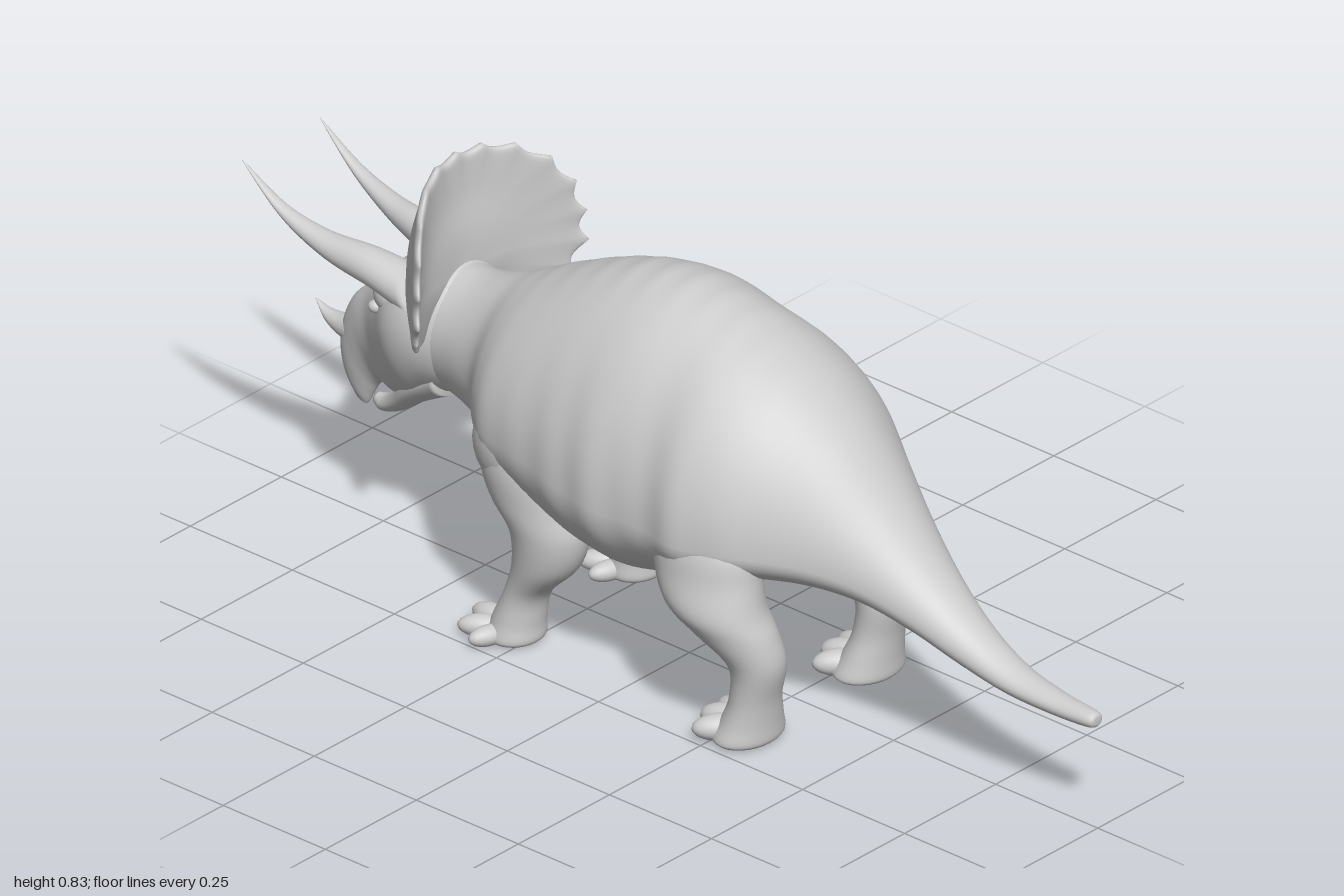
import * as THREE from 'three';

const material = new THREE.MeshStandardMaterial({ color: 0xcccccc, roughness: 0.8 });
const { sin, cos, abs, max, PI } = Math;

// Catmull-Rom through rows of cross-section parameters
function smooth(rows, sub) {
  const out = [];
  const n = rows.length - 1;
  for (let i = 0; i < n; i++) {
    const a = rows[max(i - 1, 0)], b = rows[i], c = rows[i + 1], d = rows[Math.min(i + 2, n)];
    for (let s = 0; s < sub; s++) {
      const t = s / sub;
      out.push(b.map((_, k) => 0.5 * (2 * b[k] + (c[k] - a[k]) * t
        + (2 * a[k] - 5 * b[k] + 4 * c[k] - d[k]) * t * t
        + (3 * b[k] - a[k] - 3 * c[k] + d[k]) * t * t * t)));
    }
  }
  out.push(rows[n]);
  return out;
}

// Closed skin over smoothed rings; place(row, angle) gives one point
function loft(rows, place, sub = 5, seg = 40) {
  const rings = smooth(rows, sub);
  const pos = [], index = [];
  for (const row of rings) {
    for (let j = 0; j < seg; j++) pos.push(...place(row, (j / seg) * PI * 2));
  }
  const last = rings.length - 1;
  for (const r of [0, last]) {
    const mid = [0, 0, 0];
    for (let j = 0; j < seg * 3; j++) mid[j % 3] += pos[r * seg * 3 + j] / seg;
    pos.push(...mid);
  }
  const capA = rings.length * seg, capB = capA + 1;
  for (let j = 0; j < seg; j++) {
    const k = (j + 1) % seg;
    for (let i = 0; i < last; i++) {
      const a = i * seg + j, b = i * seg + k;
      index.push(a, b, a + seg, b, b + seg, a + seg);
    }
    index.push(capA, k, j, capB, last * seg + j, last * seg + k);
  }
  // turn the skin outward if its signed volume is negative
  let volume = 0;
  const point = (i) => new THREE.Vector3(...pos.slice(i * 3, i * 3 + 3));
  for (let i = 0; i < index.length; i += 3) {
    volume += point(index[i]).dot(point(index[i + 1]).cross(point(index[i + 2])));
  }
  if (volume < 0) index.reverse();
  const geometry = new THREE.BufferGeometry();
  geometry.setAttribute('position', new THREE.Float32BufferAttribute(pos, 3));
  geometry.setIndex(index);
  geometry.computeVertexNormals();
  return geometry;
}

function add(parent, name, geometry) {
  const mesh = new THREE.Mesh(geometry, material);
  mesh.name = name;
  parent.add(mesh);
  return mesh;
}

function ellipsoid(parent, name, [x, y, z], [rx, ry, rz], yaw = 0) {
  const mesh = add(parent, name, new THREE.SphereGeometry(1, 20, 14));
  mesh.position.set(x, y, z);
  mesh.scale.set(rx, ry, rz);
  mesh.rotation.y = yaw;
}

// Row: top z, top y, bottom z, bottom y, half width, height of widest point (0..1)
function upright([tz, ty, bz, by, w, f], a) {
  const s = sin(a);
  const h = s > 0 ? f + (1 - f) * s : f + f * s;
  return [w * cos(a), by + (ty - by) * h, bz + (tz - bz) * h];
}

// Row: y, centre x, centre z, half width, half depth
const level = ([y, x, z, rx, rz], a) => [x + rx * cos(a), y, z + rz * sin(a)];

// Horn of round section along a curve
function horn(points, radius) {
  const curve = new THREE.CatmullRomCurve3(points.map((p) => new THREE.Vector3(...p)));
  const rows = [];
  for (let i = 0; i <= 20; i++) {
    const p = curve.getPoint(i / 20);
    rows.push([p.x, p.y, p.z, radius * (1 - i / 20) ** 0.9 + 0.001]);
  }
  return loft(rows, ([x, y, z, r], a) => [x + r * cos(a), y + r * sin(a), z - r * 0.4 * sin(a)], 1, 20);
}

function leg(parent, name, side, rows, toes) {
  const group = new THREE.Group();
  group.name = name;
  parent.add(group);
  add(group, 'limb', loft(rows.map(([y, x, ...r]) => [y, x * side, ...r]), level, 5, 28));
  const [, fx, fz] = rows[rows.length - 1];
  for (const [yaw, reach, size] of toes) {
    ellipsoid(group, 'toe', [side * (fx + sin(yaw) * reach), size * 0.95, fz - cos(yaw) * reach],
      [size, size * 0.95, size * 2], -side * yaw);
  }
}

export function createModel() {
  const model = new THREE.Group();
  model.name = 'hornedDinosaur';

  // Tail, trunk and neck: z, top y, bottom y, half width, widest height
  const trunk = [
    [1.0, 0.232, 0.215, 0.01, 0.5], [0.985, 0.24, 0.207, 0.02, 0.5], [0.9, 0.247, 0.205, 0.029, 0.5],
    [0.8, 0.268, 0.212, 0.04, 0.48], [0.7, 0.32, 0.235, 0.055, 0.45], [0.6, 0.4, 0.27, 0.08, 0.4],
    [0.5, 0.5, 0.3, 0.118, 0.34], [0.4, 0.605, 0.312, 0.172, 0.28], [0.3, 0.685, 0.305, 0.237, 0.26],
    [0.2, 0.735, 0.275, 0.272, 0.28], [0.1, 0.768, 0.235, 0.262, 0.32], [0, 0.783, 0.21, 0.274, 0.35],
    [-0.1, 0.772, 0.218, 0.265, 0.36], [-0.2, 0.74, 0.245, 0.25, 0.38], [-0.3, 0.695, 0.28, 0.232, 0.38],
    [-0.36, 0.665, 0.305, 0.195, 0.4], [-0.42, 0.635, 0.325, 0.14, 0.44], [-0.5, 0.61, 0.345, 0.112, 0.5],
    [-0.57, 0.61, 0.36, 0.105, 0.5],
  ].map(([z, top, low, w, f]) => [z, top, z, low, w, f]);
  add(model, 'body', loft(trunk, (row, a) => {
    const p = upright(row, a);
    const s = max(0, sin(a)), middle = max(0, 1 - (p[2] / 0.42) ** 2);
    // back slopes in to the spine, with faint rib folds and a slightly knobbly ridge
    p[0] *= (1 - 0.08 * s * s) * (1 + 0.008 * middle * cos(a) ** 4 * sin(p[2] * 62 + p[1] * 6));
    p[1] += 0.002 * s ** 20 * sin(p[2] * 95) * middle;
    return p;
  }, 6, 64));

  // Skull with narrow hooked upper beak
  add(model, 'skull', loft([
    [-0.5, 0.59, -0.5, 0.36, 0.095, 0.5], [-0.6, 0.625, -0.57, 0.345, 0.118, 0.5],
    [-0.67, 0.595, -0.615, 0.315, 0.115, 0.55], [-0.725, 0.535, -0.66, 0.295, 0.085, 0.55],
    [-0.77, 0.495, -0.702, 0.288, 0.057, 0.5], [-0.81, 0.46, -0.735, 0.297, 0.042, 0.5],
    [-0.835, 0.415, -0.757, 0.285, 0.034, 0.5], [-0.848, 0.36, -0.772, 0.262, 0.028, 0.5],
    [-0.842, 0.305, -0.782, 0.242, 0.02, 0.5], [-0.818, 0.25, -0.788, 0.232, 0.009, 0.5],
  ], upright));
  add(model, 'lowerJaw', loft([
    [-0.56, 0.44, -0.55, 0.345, 0.085, 0.5], [-0.64, 0.38, -0.63, 0.3, 0.07, 0.5],
    [-0.695, 0.31, -0.69, 0.257, 0.046, 0.5], [-0.735, 0.272, -0.74, 0.238, 0.027, 0.5],
    [-0.765, 0.264, -0.768, 0.242, 0.01, 0.5],
  ], upright, 5, 28));

  // Frill with pointed rim, swept back at the sides; row: radius fraction, z offset
  add(model, 'frill', loft([
    [0.02, -0.04], [0.3, -0.035], [0.6, -0.022], [0.85, -0.01], [0.97, -0.008], [1, 0],
    [0.97, 0.009], [0.85, 0.016], [0.6, 0.028], [0.3, 0.045], [0.02, 0.05],
  ], ([s, off], a) => {
    const up = sin(a);
    let r = up > 0 ? 0.23 + 0.02 * sin(2 * a) ** 2 : 0.23 * (1 - 0.5 * (-up) ** 1.5);
    if (up > -0.6) r += 0.012 * (0.4 - abs(sin(a * 12))) * s ** 6;
    const x = r * s * cos(a), dy = r * s * up;
    return [x, 0.6 + dy, -0.6 + 2.6 * x * x + 0.5 * dy * dy + off];
  }, 3, 192));

  // Horns and eyes
  add(model, 'noseHorn', horn([[0, 0.4, -0.74], [0, 0.374, -0.82], [0, 0.38, -0.88], [0, 0.405, -0.915]], 0.038));
  for (const side of [1, -1]) {
    add(model, 'browHorn', horn([[0.062, 0.55, -0.6], [0.078, 0.578, -0.7], [0.092, 0.594, -0.8],
      [0.102, 0.632, -0.9], [0.107, 0.705, -1.0]].map(([x, y, z]) => [x * side, y, z]), 0.048));
    ellipsoid(model, 'brow', [0.07 * side, 0.53, -0.67], [0.03, 0.035, 0.04], side * 0.4);
    ellipsoid(model, 'eye', [0.088 * side, 0.505, -0.692], [0.012, 0.012, 0.014]);
    ellipsoid(model, 'shoulder', [0.155 * side, 0.41, -0.28], [0.08, 0.11, 0.095], side * 0.2);

    // Legs from hip or shoulder down; toes: yaw, reach, size
    leg(model, 'hindLeg', side, [
      [0.5, 0.15, 0.2, 0.03, 0.05], [0.45, 0.165, 0.2, 0.065, 0.095], [0.4, 0.182, 0.21, 0.08, 0.12],
      [0.34, 0.194, 0.22, 0.08, 0.115], [0.28, 0.2, 0.242, 0.084, 0.103], [0.23, 0.188, 0.278, 0.073, 0.086],
      [0.17, 0.174, 0.32, 0.057, 0.054], [0.1, 0.17, 0.314, 0.055, 0.044], [0.05, 0.166, 0.302, 0.066, 0.05],
      [0.015, 0.165, 0.292, 0.078, 0.058], [0.005, 0.165, 0.292, 0.072, 0.052],
    ], [[-0.9, 0.052, 0.027], [-0.3, 0.036, 0.03], [0.3, 0.036, 0.03], [0.9, 0.052, 0.027]]);
    leg(model, 'foreLeg', side, [
      [0.5, 0.13, -0.26, 0.04, 0.05], [0.45, 0.14, -0.26, 0.075, 0.085], [0.38, 0.155, -0.25, 0.08, 0.105],
      [0.31, 0.16, -0.23, 0.074, 0.102], [0.25, 0.16, -0.2, 0.068, 0.082], [0.18, 0.16, -0.208, 0.06, 0.066],
      [0.11, 0.16, -0.25, 0.05, 0.042], [0.05, 0.163, -0.27, 0.054, 0.048], [0.015, 0.165, -0.275, 0.06, 0.052],
      [0.005, 0.165, -0.275, 0.055, 0.046],
    ], [[-1.25, 0.06, 0.021], [-0.65, 0.064, 0.023], [0, 0.058, 0.024], [0.65, 0.064, 0.023], [1.25, 0.06, 0.021]]);
  }
  return model;
}
